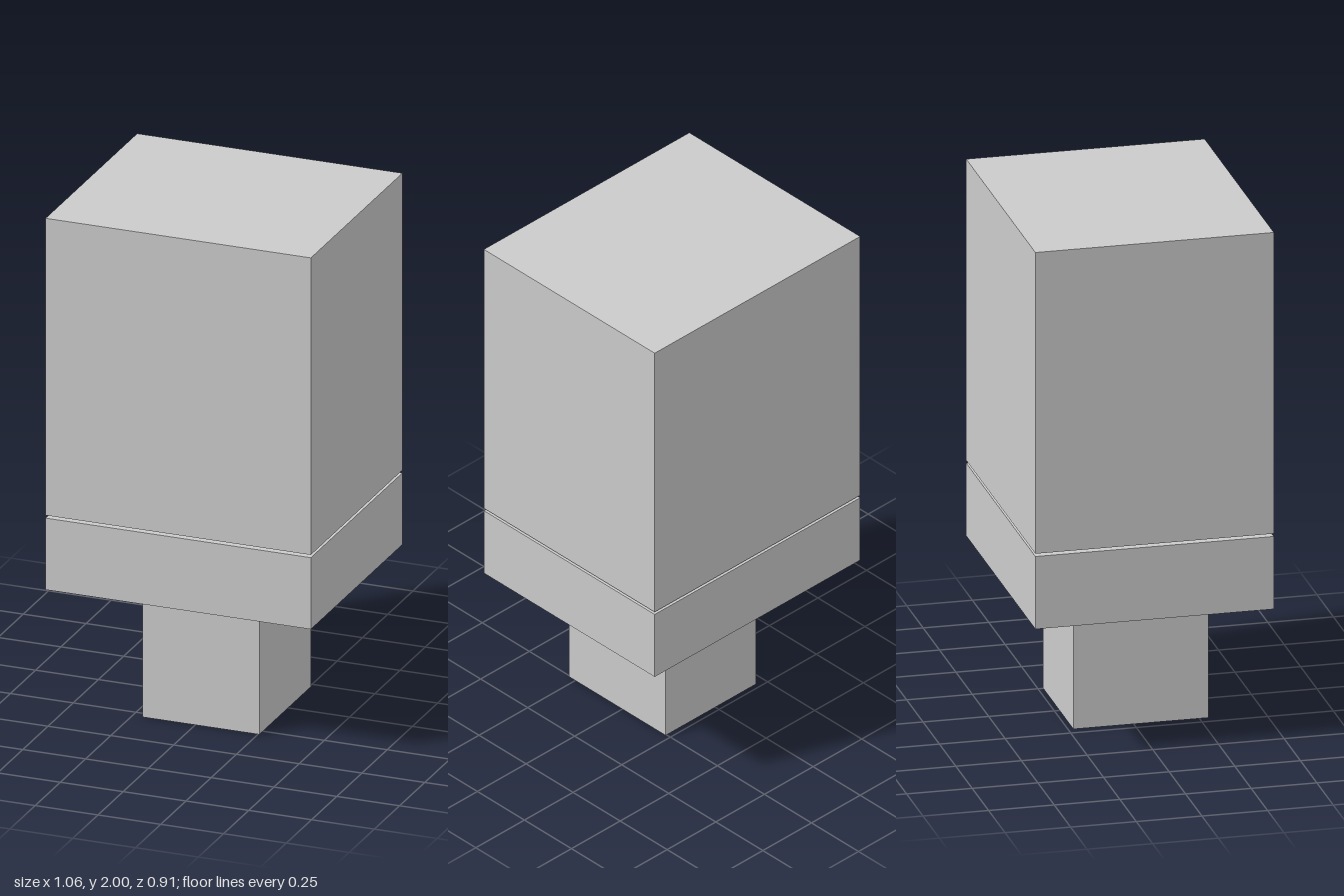
import * as THREE from 'three';

const material = new THREE.MeshStandardMaterial({ color: 0xcccccc, flatShading: true });

// Box given by its lowest and highest corners
function block(name, [x0, y0, z0], [x1, y1, z1]) {
  const mesh = new THREE.Mesh(new THREE.BoxGeometry(x1 - x0, y1 - y0, z1 - z0), material);
  mesh.name = name;
  mesh.position.set((x0 + x1) / 2, (y0 + y1) / 2, (z0 + z1) / 2);
  return mesh;
}

export function createModel() {
  const model = new THREE.Group();
  model.name = 'blockOnStem';
  const w = 0.528, d = 0.454;

  model.add(
    // Off-centre stem
    block('stem', [-0.21, 0, -0.23], [0.255, 0.522, 0.285]),
    // Low slab resting on the stem
    block('baseSlab', [-w, 0.522, -d], [w, 0.807, d]),
    // Tall block, separated from the slab by a narrow gap
    block('upperBlock', [-w, 0.818, -d], [w, 2, d]),
  );
  return model;
}
